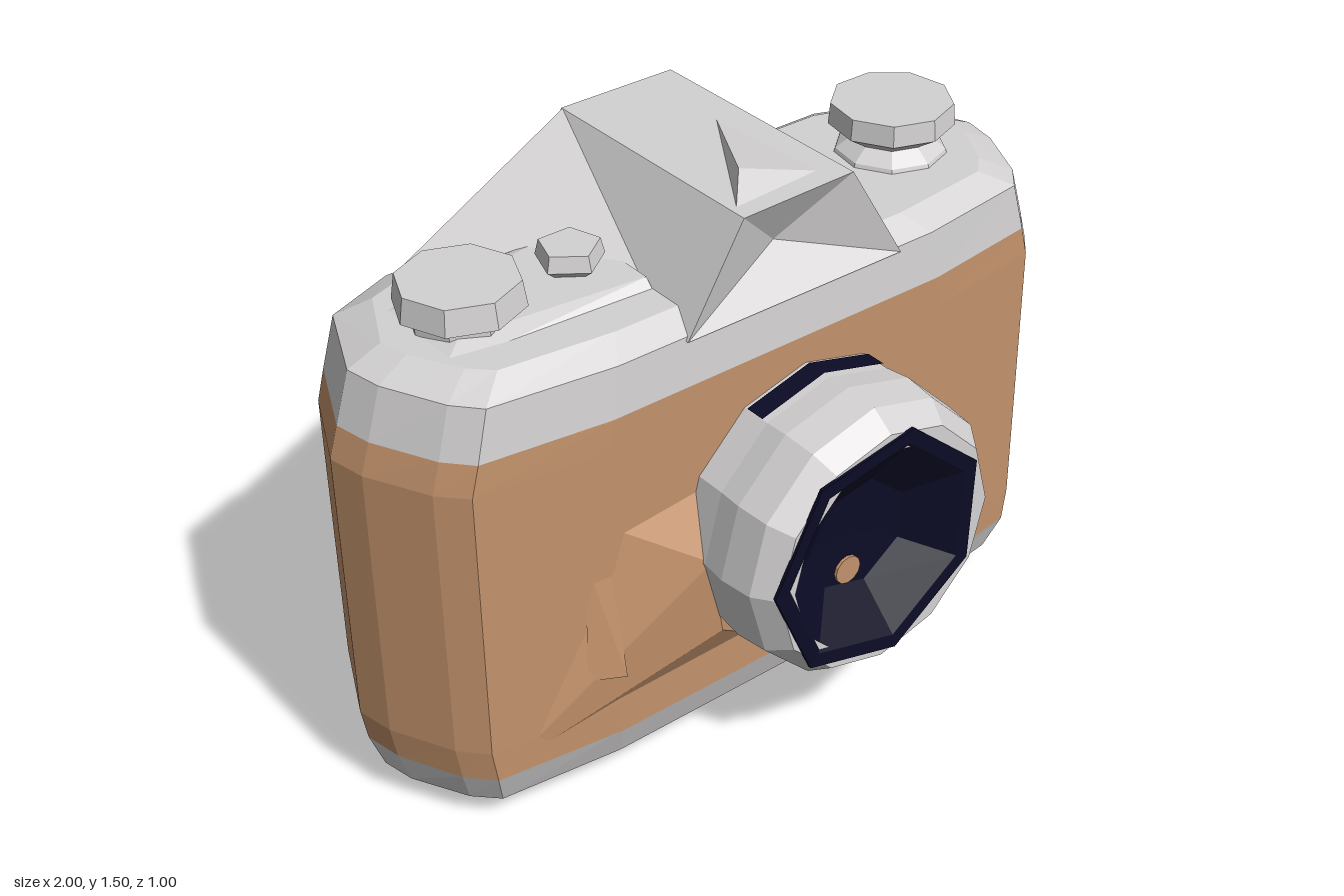
import * as THREE from 'three';
import { ConvexGeometry } from 'three/addons/geometries/ConvexGeometry.js';

const silver = new THREE.MeshStandardMaterial({ color: 0xd4d2d2 });
silver.name = 'silver metal';
const leather = new THREE.MeshStandardMaterial({ color: 0xc4936c });
leather.name = 'tan leather';
const glass = new THREE.MeshStandardMaterial({ color: 0x0b0b26 });
glass.name = 'dark glass';

// Separate the faces so that each gets its own flat normal
function facet(geo) {
  const g = geo.index ? geo.toNonIndexed() : geo;
  g.computeVertexNormals();
  return g;
}

function part(group, name, geo, material) {
  const mesh = new THREE.Mesh(facet(geo), material);
  mesh.name = name;
  group.add(mesh);
  return mesh;
}

const hull = (pts) => new ConvexGeometry(pts.map((p) => new THREE.Vector3(...p)));

function fromTriangles(corners) {
  const g = new THREE.BufferGeometry();
  g.setAttribute('position', new THREE.Float32BufferAttribute(corners.flat(), 3));
  return g;
}

// Body: one plan outline scaled at several heights
function addBody(group) {
  const half = [[0.5, 0.188], [0.84, 0.145], [0.9, 0.08], [0.98, -0.08], [1, -0.18], [0.9, -0.4], [0.7, -0.475]];
  const outline = [...half, ...half.map(([x, z]) => [-x, z]).reverse()];
  // height, width scale, depth scale
  const levels = [
    [0, 0.85, 0.4], [0.07, 0.95, 0.88], [0.17, 0.985, 1], [0.26, 1, 1],
    [1.0, 1, 1], [1.08, 0.975, 1], [1.21, 0.935, 0.98], [1.25, 0.85, 0.78],
  ];
  const rings = levels.map(([y, sx, sz]) => outline.map(([x, z]) => [x * sx, y, -0.145 + (z + 0.145) * sz]));
  const metal = [], skin = [];
  const n = outline.length;
  for (let i = 0; i < n; i++) {
    const j = (i + 1) % n;
    for (let k = 0; k < rings.length - 1; k++) {
      const a = rings[k][i], b = rings[k][j], c = rings[k + 1][j], d = rings[k + 1][i];
      const endStrip = i === 1 || i === 2;
      const target = k >= 2 && k <= 4 && !endStrip ? skin : metal;
      target.push(a, b, c, a, c, d);
    }
    const top = rings[rings.length - 1], bottom = rings[0];
    metal.push([0, 1.25, -0.145], top[i], top[j]);
    metal.push([0, 0, -0.145], bottom[j], bottom[i]);
  }
  part(group, 'bodyMetal', fromTriangles(metal), silver);
  part(group, 'bodyLeather', fromTriangles(skin), leather);
}

// Viewfinder hump with a dented front
function addViewfinder(group) {
  const p = [
    [-0.28, 1.2, 0.19], [0.36, 1.2, 0.19], [0.21, 1.46, 0.18], [-0.12, 1.46, 0.19], [0.04, 1.31, 0.1],
    [-0.28, 1.2, -0.49], [0.36, 1.2, -0.5], [0.21, 1.46, -0.5], [-0.12, 1.46, -0.5],
  ];
  const faces = [
    0, 1, 4, 1, 2, 4, 2, 3, 4, 3, 0, 4, // front
    1, 6, 7, 1, 7, 2, // right-hand slope
    0, 3, 8, 0, 8, 5, // left-hand slope
    3, 2, 7, 3, 7, 8, // top
    6, 5, 8, 6, 8, 7, // back
    0, 5, 6, 0, 6, 1, // underside
  ];
  part(group, 'viewfinderHump', fromTriangles(faces.map((i) => p[i])), silver);
  part(group, 'viewfinderBackSlope', hull([
    [-0.12, 1.46, -0.495], [-0.28, 1.2, -0.488], [-0.64, 1.2, -0.47], [-0.28, 1.2, 0.1],
  ]), silver);
  part(group, 'viewfinderPeak', hull([
    [-0.11, 1.455, 0.15], [-0.03, 1.5, 0.06], [0.17, 1.455, 0.13], [0.13, 1.46, -0.22],
  ]), silver);
}

// Lens barrel, dark bowl and rear band, turned to face forward
function addLens(group) {
  const lens = new THREE.Group();
  lens.name = 'lens';
  lens.position.set(0.07, 0.635, 0);
  group.add(lens);
  const turned = (pts, sides) =>
    new THREE.LatheGeometry(pts.map((p) => new THREE.Vector2(...p)), sides).rotateX(Math.PI / 2);

  part(lens, 'lensBarrel', turned([
    [0.37, 0.15], [0.37, 0.27], [0.378, 0.34], [0.368, 0.43], [0.325, 0.49], [0.28, 0.49],
  ], 12), silver);

  const bowl = part(lens, 'lensGlass', turned([
    [0.325, 0.488], [0.325, 0.497], [0.285, 0.495], [0.15, 0.41], [0, 0.4],
  ], 7), glass);
  bowl.position.set(-0.02, 0.005, 0);
  bowl.rotation.z = 0.18;

  const dot = part(lens, 'lensCentre', new THREE.CylinderGeometry(0.038, 0.038, 0.008, 12).rotateX(Math.PI / 2), leather);
  dot.position.set(-0.05, -0.085, 0.412);

  const band = part(lens, 'lensBand', new THREE.CylinderGeometry(
    0.375, 0.375, 0.055, 5, 1, true, Math.PI / 3, Math.PI * 5 / 6).rotateX(Math.PI / 2), glass);
  band.position.z = 0.228;

  const flange = part(lens, 'lensFlange', new THREE.CylinderGeometry(0.37, 0.37, 0.03, 24).rotateX(Math.PI / 2), silver);
  flange.position.set(0.015, -0.04, 0.18);
}

// Raised leather beside the lens, with a thin lever
function addGrip(group) {
  part(group, 'gripSlope', hull([
    [-0.8, 0.19, 0.14], [-0.5, 0.78, 0.175], [-0.28, 0.63, 0.27],
    [-0.24, 0.4, 0.26], [-0.1, 0.27, 0.18], [-0.2, 0.8, 0.18],
  ]), leather);
  part(group, 'frontLever', hull([
    [-0.51, 0.78, 0.17], [-0.5, 0.37, 0.225], [-0.59, 0.38, 0.19], [-0.57, 0.72, 0.17], [-0.49, 0.4, 0.2],
  ]), leather);
}

// Faceted knobs along the top: [height, radius] profiles
function addKnobs(group) {
  const knobs = [
    ['rewindKnob', 0.63, 9, [[1.23, 0.15], [1.26, 0.14], [1.29, 0.1], [1.33, 0.16], [1.385, 0.155], [1.385, 0]]],
    ['speedDial', -0.655, 8, [[1.23, 0.12], [1.27, 0.12], [1.29, 0.155], [1.355, 0.145], [1.355, 0]]],
    ['shutterButton', -0.355, 5, [[1.23, 0.06], [1.27, 0.06], [1.29, 0.085], [1.33, 0.075], [1.33, 0]]],
  ];
  for (const [name, x, sides, profile] of knobs) {
    const geo = new THREE.LatheGeometry(profile.map(([y, r]) => new THREE.Vector2(r, y)), sides);
    part(group, name, geo, silver).position.set(x, 0, -0.15);
  }
  part(group, 'dialPlate', hull([
    [-0.8, 1.24, 0], [-0.8, 1.24, -0.3], [-0.25, 1.24, 0.03], [-0.25, 1.24, -0.36],
    [-0.72, 1.265, -0.06], [-0.72, 1.265, -0.24], [-0.25, 1.272, 0], [-0.25, 1.272, -0.3],
  ]), silver);
}

export function createModel() {
  const camera = new THREE.Group();
  camera.name = 'filmCamera';
  addBody(camera);
  addViewfinder(camera);
  addLens(camera);
  addGrip(camera);
  addKnobs(camera);
  return camera;
}
